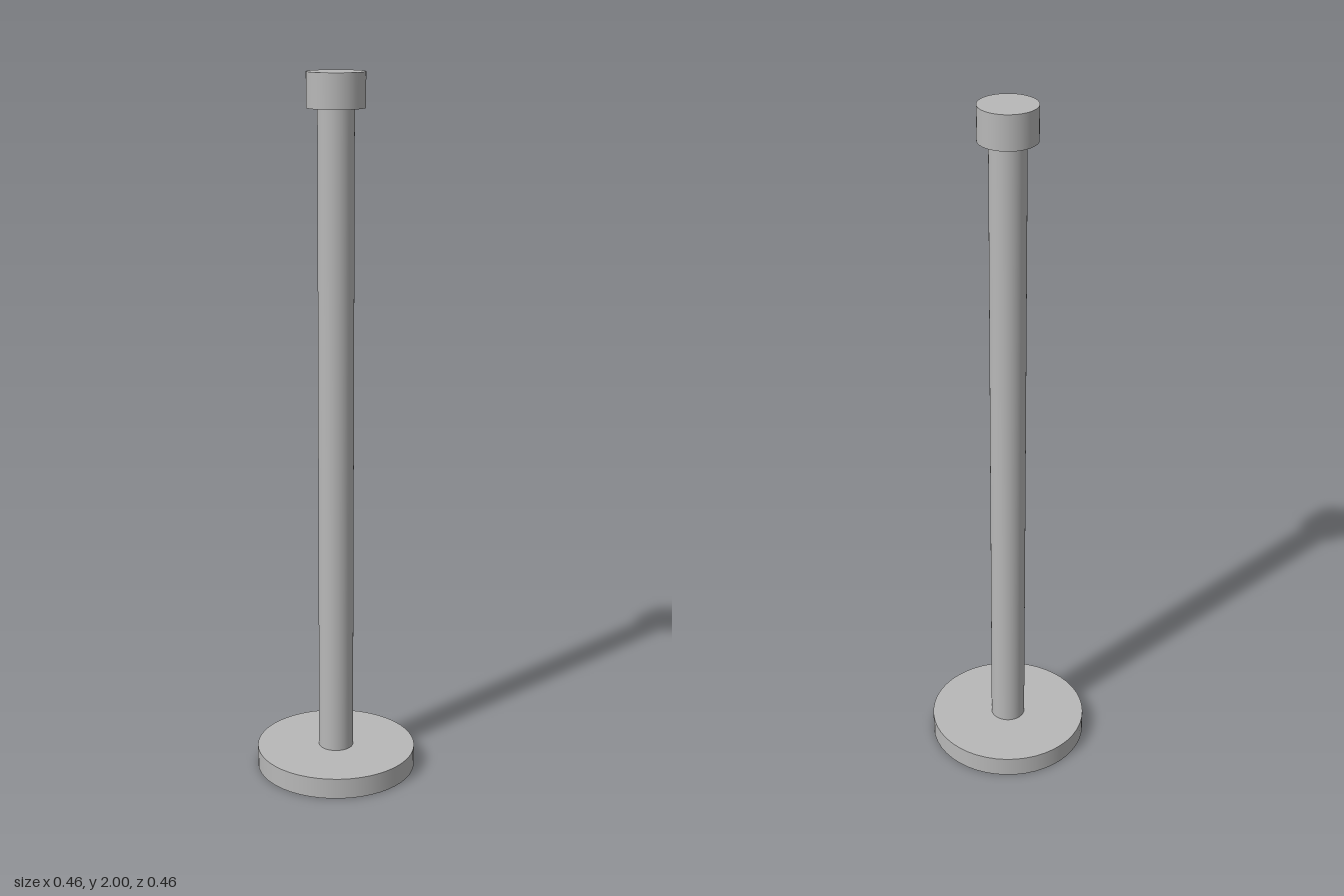
import * as THREE from 'three';

export function createModel() {
  const group = new THREE.Group();
  group.name = 'post';

  const metal = new THREE.MeshStandardMaterial({ color: 0xb8b8b8 });
  metal.name = 'grey metal';

  // Upright cylinder spanning two heights
  const addCylinder = (name, radius, bottom, top) => {
    const mesh = new THREE.Mesh(
      new THREE.CylinderGeometry(radius, radius, top - bottom, 48),
      metal
    );
    mesh.name = name;
    mesh.position.y = (bottom + top) / 2;
    group.add(mesh);
  };

  addCylinder('base', 0.23, 0, 0.06);
  addCylinder('pole', 0.05, 0.06, 1.905);
  addCylinder('cap', 0.08, 1.905, 2);

  return group;
}
